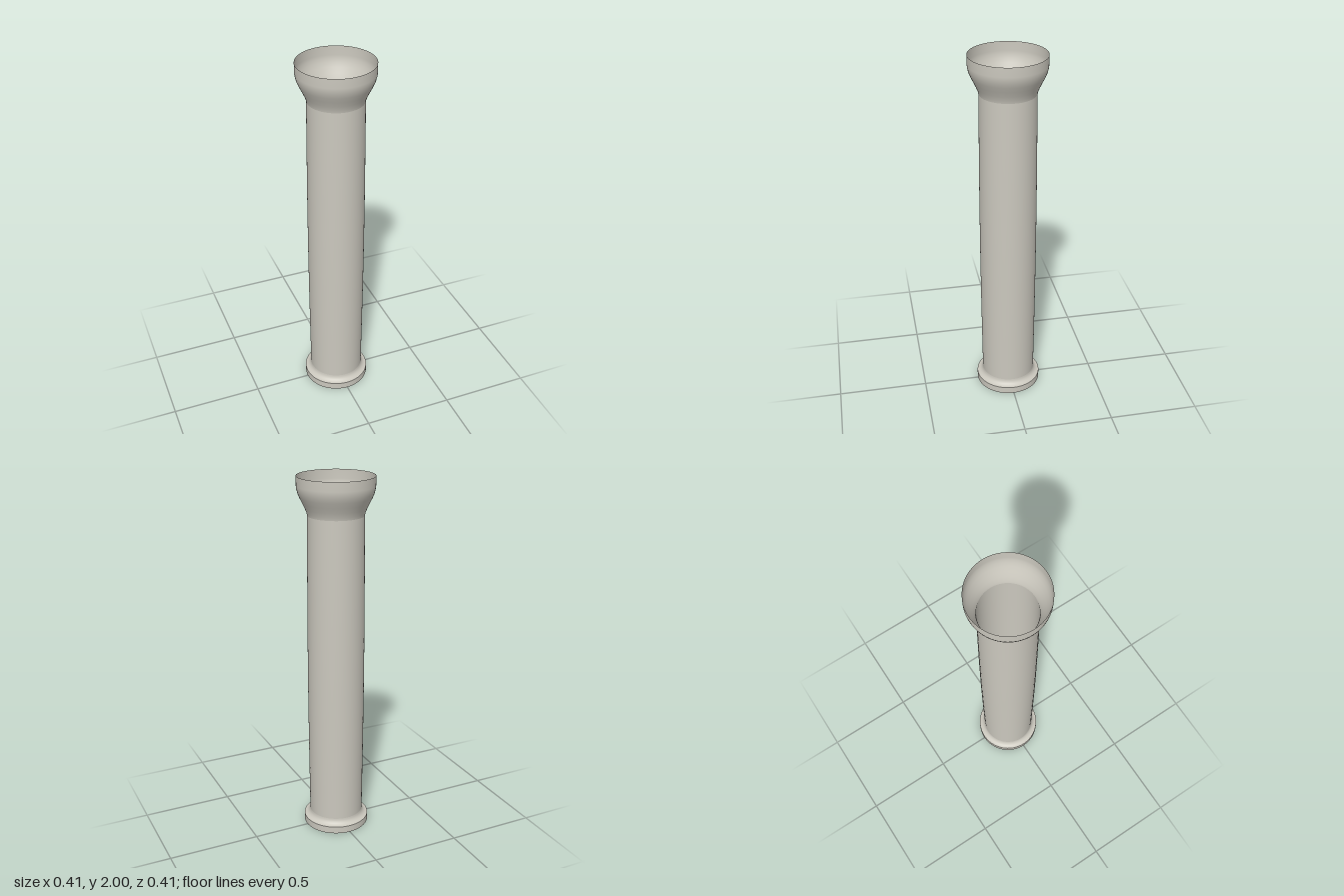
import * as THREE from 'three';

const stone = new THREE.MeshStandardMaterial({ color: 0xcbc8be, side: THREE.DoubleSide });
stone.name = 'pale stone';

// One hollow turned section, from [radius, height] pairs listed bottom to top
function turned(name, profile) {
  const points = profile.map(([r, y]) => new THREE.Vector2(r, y));
  const mesh = new THREE.Mesh(new THREE.LatheGeometry(points, 64), stone);
  mesh.name = name;
  return mesh;
}

export function createModel() {
  const column = new THREE.Group();
  column.name = 'column';

  // Plain ring at the foot
  column.add(turned('baseRing', [[0.183, 0], [0.183, 0.04]]));

  // Concave sweep from the ring up to the shaft
  const sweep = [];
  for (let i = 0; i <= 6; i++) {
    const a = (i / 6) * Math.PI / 2;
    sweep.push([0.183 - 0.033 * Math.sin(a), 0.075 - 0.035 * Math.cos(a)]);
  }
  column.add(turned('baseMoulding', sweep));

  // Shaft, swelling slightly at mid height
  const shaft = [];
  for (let i = 0; i <= 12; i++) {
    const t = i / 12;
    shaft.push([0.15 + 0.005 * Math.sin(Math.PI * t), 0.075 + 1.72 * t]);
  }
  column.add(turned('shaft', shaft));

  // Flared capital with an upright open rim
  column.add(turned('capital', [
    [0.15, 1.795], [0.153, 1.81], [0.163, 1.835], [0.176, 1.862], [0.19, 1.89],
    [0.199, 1.912], [0.204, 1.932], [0.206, 1.95], [0.206, 2],
  ]));

  return column;
}
